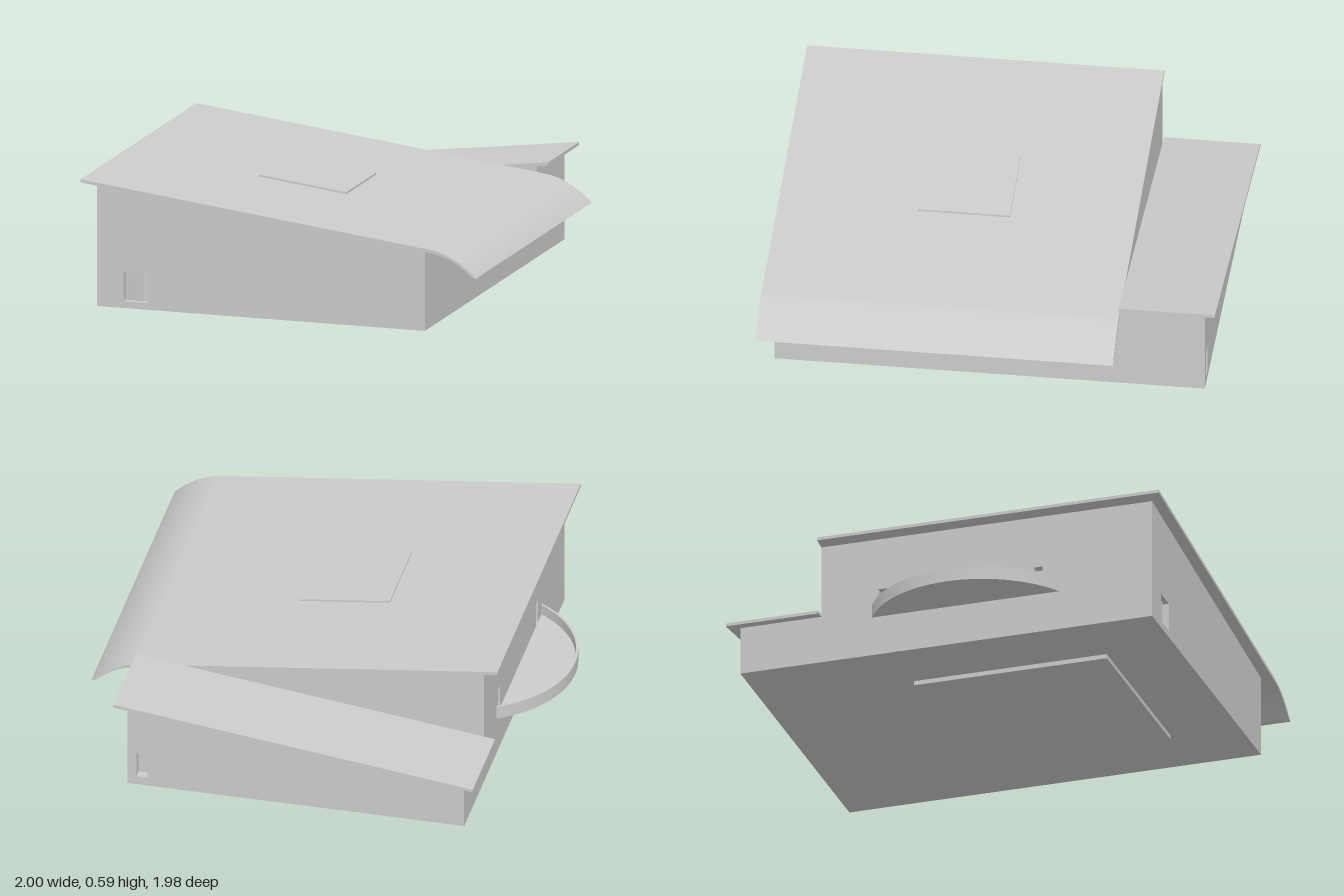
import * as THREE from 'three';
import { toCreasedNormals } from 'three/addons/utils/BufferGeometryUtils.js';

const material = new THREE.MeshStandardMaterial({ color: 0xcccccc, side: THREE.DoubleSide });

function polygon(points) {
  return new THREE.Shape(points.map(([x, y]) => new THREE.Vector2(x, y)));
}

function rectHole(x0, x1, y0, y1) {
  return new THREE.Path([[x0, y0], [x0, y1], [x1, y1], [x1, y0]].map(([x, y]) => new THREE.Vector2(x, y)));
}

// Extrudes an x-y profile from z0 to z1
function extrude(name, shape, z0, z1) {
  const geometry = new THREE.ExtrudeGeometry(shape, { depth: z1 - z0, bevelEnabled: false, curveSegments: 24 });
  geometry.translate(0, 0, z0);
  const mesh = new THREE.Mesh(toCreasedNormals(geometry, 0.5), material);
  mesh.name = name;
  return mesh;
}

// Top surfaces of the two lids, sloping in opposite directions
const mainTop = (x) => 0.59 - (x + 0.81) * 0.1226;
const rearTop = (x) => 0.245 + (x + 0.8) * 0.125;
const THICK = 0.014;
const FLOOR = 0.02;
const STEP_Z = -0.57;
const RECESS = 0.04;

function housingProfile(x0, x1, top) {
  return polygon([[x0, FLOOR], [x1, FLOOR], [x1, top(x1) - THICK], [x0, top(x0) - THICK]]);
}

function slopedPlate(x0, x1, top, low, high) {
  return polygon([[x0, top(x0) + low], [x1, top(x1) + low], [x1, top(x1) + high], [x0, top(x0) + high]]);
}

export function createModel() {
  const model = new THREE.Group();

  // Main housing: core plus face panels that carry the openings
  model.add(extrude('mainHousing', housingProfile(-0.71, 0.75, mainTop), STEP_Z, 0.94 - RECESS));

  const frontPanel = housingProfile(-0.75, 0.75, mainTop);
  frontPanel.holes.push(rectHole(-0.63, -0.52, 0.05, 0.18));
  model.add(extrude('frontPanel', frontPanel, 0.94 - RECESS, 0.94));

  const sideTop = mainTop(-0.75) - THICK;
  const sidePanel = polygon([[STEP_Z, FLOOR], [0.9, FLOOR], [0.9, sideTop], [STEP_Z, sideTop]]);
  for (const z of [-0.29, 0.42]) sidePanel.holes.push(rectHole(z - 0.02, z + 0.02, 0.215, 0.33));
  const side = extrude('slottedSidePanel', sidePanel, 0, RECESS);
  side.rotation.y = -Math.PI / 2;
  side.position.x = -0.71;
  model.add(side);

  // Rear housing with its small socket opening
  model.add(extrude('rearHousing', housingProfile(-0.75, 0.75, rearTop), -0.94 + RECESS, STEP_Z));
  const rearPanel = housingProfile(-0.75, 0.75, rearTop);
  rearPanel.holes.push(rectHole(0.66, 0.71, 0.06, 0.18));
  model.add(extrude('rearPanel', rearPanel, -0.94, -0.94 + RECESS));

  // Rocker switch inside the front opening
  const rocker = new THREE.Shape([[-0.63, -0.9], [-0.52, -0.9], [-0.545, -0.92], [-0.63, -0.905]]
    .map(([x, y]) => new THREE.Vector2(x, y)));
  const rockerMesh = extrude('rockerSwitch', rocker, 0.05, 0.18);
  rockerMesh.rotation.x = -Math.PI / 2;
  model.add(rockerMesh);

  // Main lid with a lip that curls down
  const lid = new THREE.Shape();
  lid.moveTo(-0.81, mainTop(-0.81));
  lid.lineTo(0.78, mainTop(0.78));
  lid.quadraticCurveTo(0.9, 0.382, 1.0, 0.281);
  lid.lineTo(0.98, 0.286);
  lid.quadraticCurveTo(0.89, 0.37, 0.78, mainTop(0.78) - THICK);
  lid.lineTo(-0.81, mainTop(-0.81) - THICK);
  lid.closePath();
  model.add(extrude('mainLid', lid, STEP_Z, 0.99));

  model.add(extrude('rearLid', slopedPlate(-0.8, 0.8, rearTop, -THICK, 0), -0.99, STEP_Z));
  model.add(extrude('topPad', slopedPlate(-0.2, 0.2, mainTop, -0.004, 0.008), -0.02, 0.38));

  // Base plate
  const base = new THREE.Mesh(new THREE.BoxGeometry(0.88, 0.02, 0.88), material);
  base.name = 'basePlate';
  base.position.set(0, 0.01, 0.19);
  model.add(base);

  // Shallow half-round tray with a thin rim
  const tray = new THREE.Group();
  tray.name = 'sideTray';
  const R = 0.49, centre = -0.51, half = Math.acos(0.24 / R);
  const arc = (name, inner, y0, y1) => {
    const shape = new THREE.Shape();
    shape.absarc(0, 0, R, Math.PI - half, Math.PI + half, false);
    if (inner) shape.absarc(0, 0, inner, Math.PI + half, Math.PI - half, true);
    shape.closePath();
    const mesh = extrude(name, shape, y0, y1);
    mesh.rotation.x = -Math.PI / 2;
    tray.add(mesh);
  };
  arc('trayFloor', 0, 0.2, 0.212);
  arc('trayRim', R - 0.01, 0.2, 0.26);
  tray.position.set(centre, 0, 0.088);
  model.add(tray);

  return model;
}
